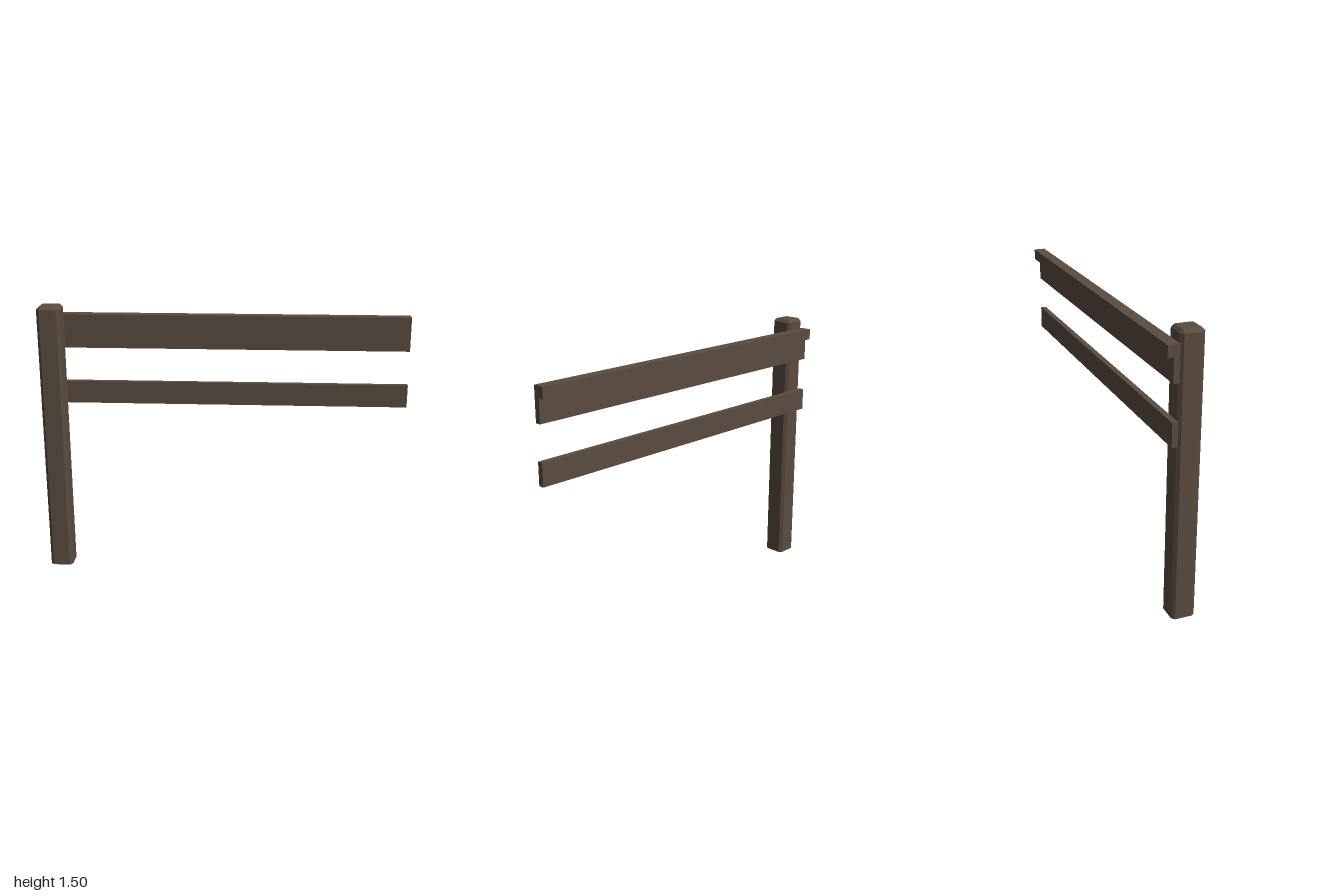
import * as THREE from 'three';

const POST_HEIGHT = 1.5, POST_HALF = 0.0625, BEVEL = 0.016;

// Square ring with cut corners, running anticlockwise seen from above
function ring(half, inner, y) {
  return [
    [half, inner], [half, -inner], [inner, -half], [-inner, -half],
    [-half, -inner], [-half, inner], [-inner, half], [inner, half],
  ].map(([x, z]) => new THREE.Vector3(x, y, z));
}

// Bevelled post, open at the foot
function postGeometry() {
  const inner = POST_HALF - BEVEL;
  const rings = [
    ring(POST_HALF, inner, 0),
    ring(POST_HALF, inner, POST_HEIGHT - BEVEL),
    ring(inner, inner, POST_HEIGHT),
  ];
  const points = [];
  const triangle = (a, b, c) => {
    const area = new THREE.Triangle(a, b, c).getArea();
    if (area > 1e-8) points.push(a, b, c);
  };
  for (let r = 0; r < 2; r++) {
    for (let i = 0; i < 8; i++) {
      const j = (i + 1) % 8;
      const [a, b] = [rings[r][i], rings[r][j]];
      const [c, d] = [rings[r + 1][j], rings[r + 1][i]];
      triangle(a, b, c);
      triangle(a, c, d);
    }
  }
  const top = rings[2];
  for (let i = 1; i < 7; i++) triangle(top[0], top[i], top[i + 1]);
  const geometry = new THREE.BufferGeometry().setFromPoints(points);
  geometry.computeVertexNormals();
  return geometry;
}

// Extrudes a (z, y) profile along the full width of the fence
function railGeometry(profile) {
  const shape = new THREE.Shape(profile.map(([z, y]) => new THREE.Vector2(-z, y)));
  const geometry = new THREE.ExtrudeGeometry(shape, { depth: 2, bevelEnabled: false });
  geometry.rotateY(Math.PI / 2);
  geometry.translate(-1, 0, 0);
  return geometry;
}

export function createModel() {
  const group = new THREE.Group();
  group.name = 'fenceSection';
  const wood = new THREE.MeshStandardMaterial({ color: 0x5a4c40, side: THREE.DoubleSide });
  wood.name = 'dark brown wood';

  const add = (name, geometry) => {
    const mesh = new THREE.Mesh(geometry, wood);
    mesh.name = name;
    group.add(mesh);
    return mesh;
  };

  add('post', postGeometry()).position.set(-1 + POST_HALF, 0, 0.031);

  // Upper board with a lip along its back edge
  add('upperRail', railGeometry([
    [-0.031, 1.255], [-0.0615, 1.255], [-0.0615, 1.38],
    [-0.0935, 1.38], [-0.0935, 1.44], [-0.031, 1.44],
  ]));

  // Plain lower board
  add('lowerRail', railGeometry([
    [-0.031, 0.942], [-0.0615, 0.942], [-0.0615, 1.066], [-0.031, 1.066],
  ]));

  return group;
}
